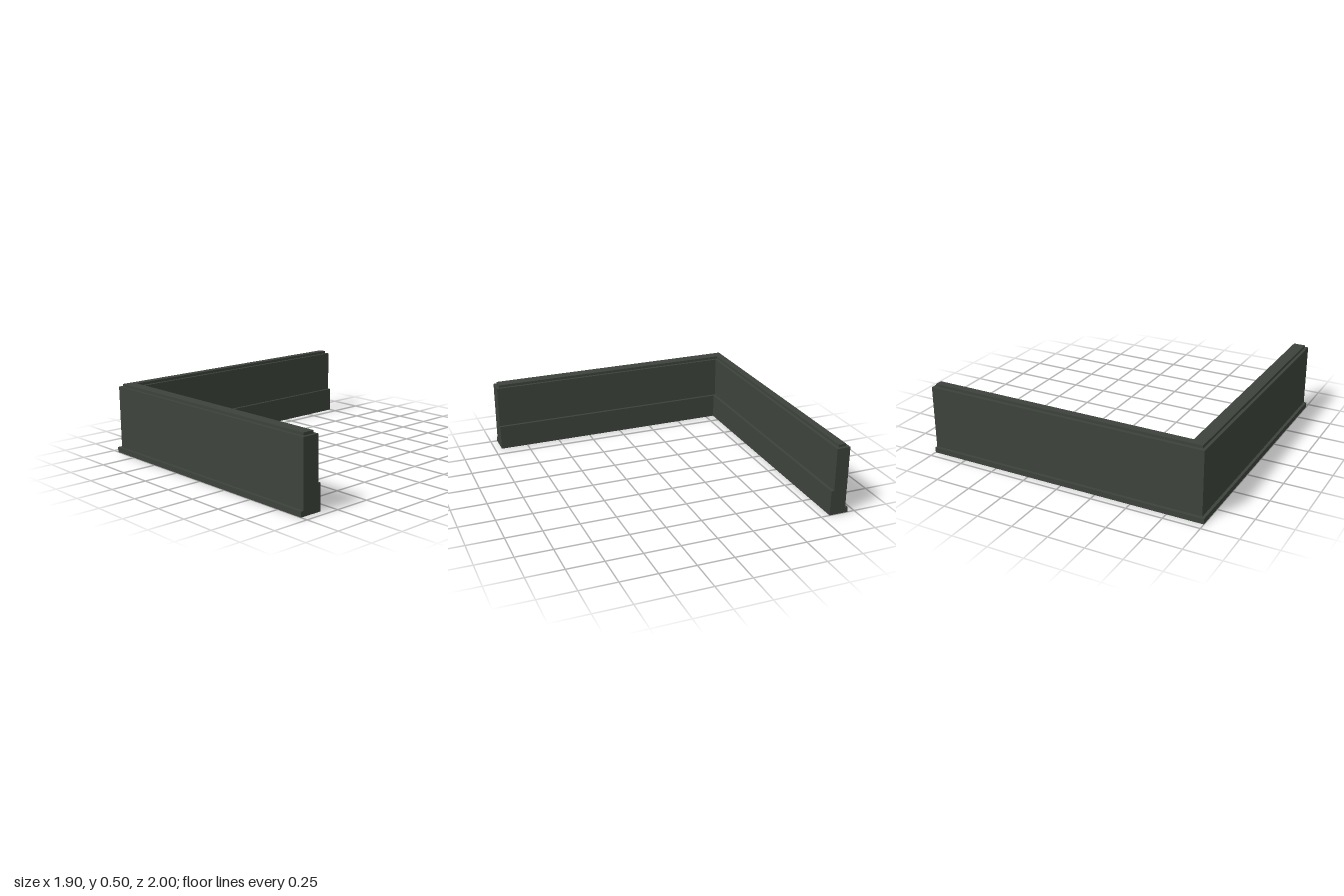
import * as THREE from 'three';

const END_X = 0.95, END_Z = -1; // free ends of the two arms

// L-shaped course: outer corner (xo, zo), inner corner (xi, zi), from y0 to y1
function course(name, material, [xo, zo], [xi, zi], y0, y1, endInset = 0) {
  const ex = END_X - endInset, ez = END_Z + endInset;
  const outline = [[xo, zo], [ex, zo], [ex, zi], [xi, zi], [xi, ez], [xo, ez]];
  const shape = new THREE.Shape(outline.map(([x, z]) => new THREE.Vector2(x, -z)));
  const geometry = new THREE.ExtrudeGeometry(shape, { depth: y1 - y0, bevelEnabled: false });
  geometry.rotateX(-Math.PI / 2).translate(0, y0, 0);
  const mesh = new THREE.Mesh(geometry, material);
  mesh.name = name;
  return mesh;
}

export function createModel() {
  const paint = new THREE.MeshStandardMaterial({ color: 0x3d433c });
  paint.name = 'dark grey green';

  const group = new THREE.Group();
  group.name = 'cornerWall';

  const base = [-0.948, 1], wallOuter = [-0.928, 0.98], capOuter = [-0.906, 0.96];
  const capInner = [-0.854, 0.88], wallInner = [-0.833, 0.862], skirtInner = [-0.813, 0.842];

  group.add(
    course('outerPlinth', paint, base, wallOuter, 0, 0.037),         // low ledge outside
    course('wall', paint, wallOuter, wallInner, 0, 0.478),           // main wall
    course('innerSkirting', paint, wallInner, skirtInner, 0, 0.178), // tall skirting inside
    course('cap', paint, capOuter, capInner, 0.478, 0.497, 0.02),    // narrow top strip
  );
  return group;
}
